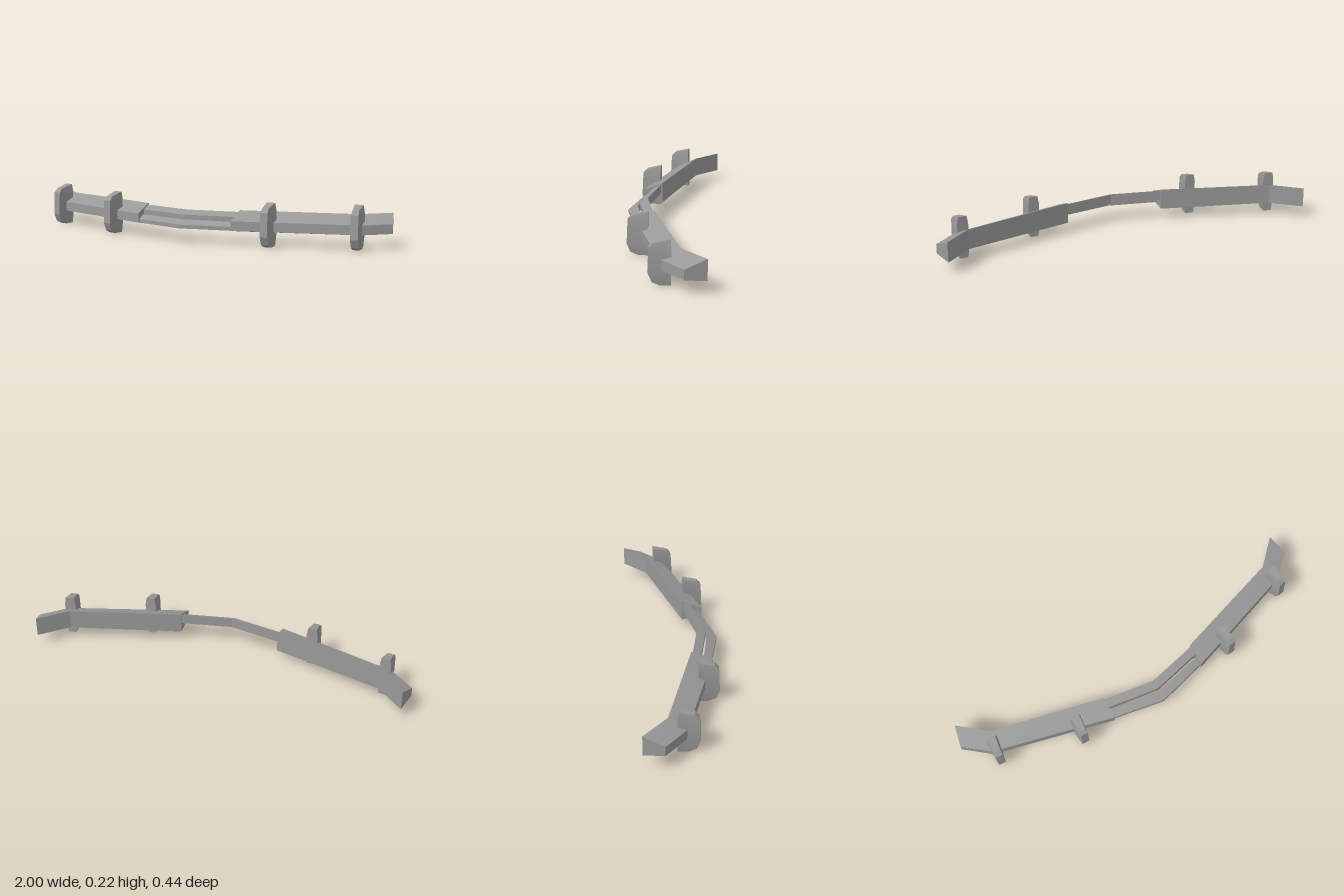
import * as THREE from 'three';
import { toCreasedNormals } from 'three/addons/utils/BufferGeometryUtils.js';

const material = new THREE.MeshStandardMaterial({ color: 0x999999 });

function addMesh(parent, name, geometry) {
  const mesh = new THREE.Mesh(geometry, material);
  mesh.name = name;
  parent.add(mesh);
  return mesh;
}

// Joins four-cornered sections in order, with closed ends.
// Corners run clockwise when looking back from the last section.
function loft(sections) {
  const positions = [];
  const quad = (a, b, c, d) => positions.push(...a, ...b, ...c, ...a, ...c, ...d);
  for (let i = 0; i < sections.length - 1; i++) {
    const s = sections[i], t = sections[i + 1];
    for (let j = 0; j < 4; j++) {
      const k = (j + 1) % 4;
      quad(s[j], t[j], t[k], s[k]);
    }
  }
  const first = sections[0], last = sections[sections.length - 1];
  quad(...first);
  quad(last[3], last[2], last[1], last[0]);
  const geometry = new THREE.BufferGeometry();
  geometry.setAttribute('position', new THREE.Float32BufferAttribute(positions, 3));
  return toCreasedNormals(geometry, 0.35);
}

// Bar section from front and back plan points [x, z] and heights [bottom, top]
function section(front, back, frontY, backY, side = 1) {
  return [
    [side * front[0], frontY[0], front[1]],
    [side * front[0], frontY[1], front[1]],
    [side * back[0], backY[1], back[1]],
    [side * back[0], backY[0], back[1]],
  ];
}

// Upright guard, lofted upwards: narrower to the front and at both ends
function guardGeometry() {
  const levels = [ // front z, front y, back y, half width at the back
    [0.048, 0, 0, 0.021],
    [0.086, 0.017, 0.017, 0.025],
    [0.104, 0.058, 0.058, 0.029],
    [0.098, 0.177, 0.177, 0.029],
    [0.077, 0.198, 0.216, 0.022],
  ];
  return loft(levels.map(([z, frontY, backY, w]) => {
    const f = w * (1 - 3.4 * z);
    return [[-f, frontY, z], [-w, backY, 0], [w, backY, 0], [f, frontY, z]];
  }));
}

export function createModel() {
  const bumper = new THREE.Group();
  bumper.name = 'bumper';

  // Two bent rails across the middle
  const rails = [
    { name: 'frontRail', mid: [0.22, 0.172], end: [0.157, 0.12], fy: [0.073, 0.092], by: [0.073, 0.112] },
    { name: 'rearRail', mid: [0.163, 0.12], end: [0.11, 0.067], fy: [0.108, 0.135], by: [0.105, 0.155] },
  ];
  for (const { name, mid, end, fy, by } of rails) {
    const sections = [[-0.28, end], [0, mid], [0.28, end]].map(
      ([x, z]) => section([x, z[0]], [x, z[1]], fy, by));
    addMesh(bumper, name, loft(sections));
  }

  // Swept side beams with kinked tips, and two guards on each
  const guard = guardGeometry();
  for (const side of [1, -1]) {
    const label = side > 0 ? 'left' : 'right';
    const sections = [
      [[0.265, 0.17], [0.265, 0.063], 0.055],
      [[0.877, -0.011], [0.835, -0.097], 0.061],
      [[1, -0.12], [0.97, -0.22], 0.061],
    ].map(([f, b, low]) => section(f, b, [0.074, 0.122], [low, 0.163], side));
    if (side < 0) sections.reverse();
    addMesh(bumper, label + 'Beam', loft(sections));

    for (const [name, x, z, turn] of [
      ['InnerGuard', 0.443, 0.081, 0.06],
      ['OuterGuard', 0.85, -0.053, 0.13],
    ]) {
      const mesh = addMesh(bumper, label + name, guard);
      mesh.position.set(side * x, 0, z);
      mesh.rotation.y = side * turn;
    }
  }
  return bumper;
}
